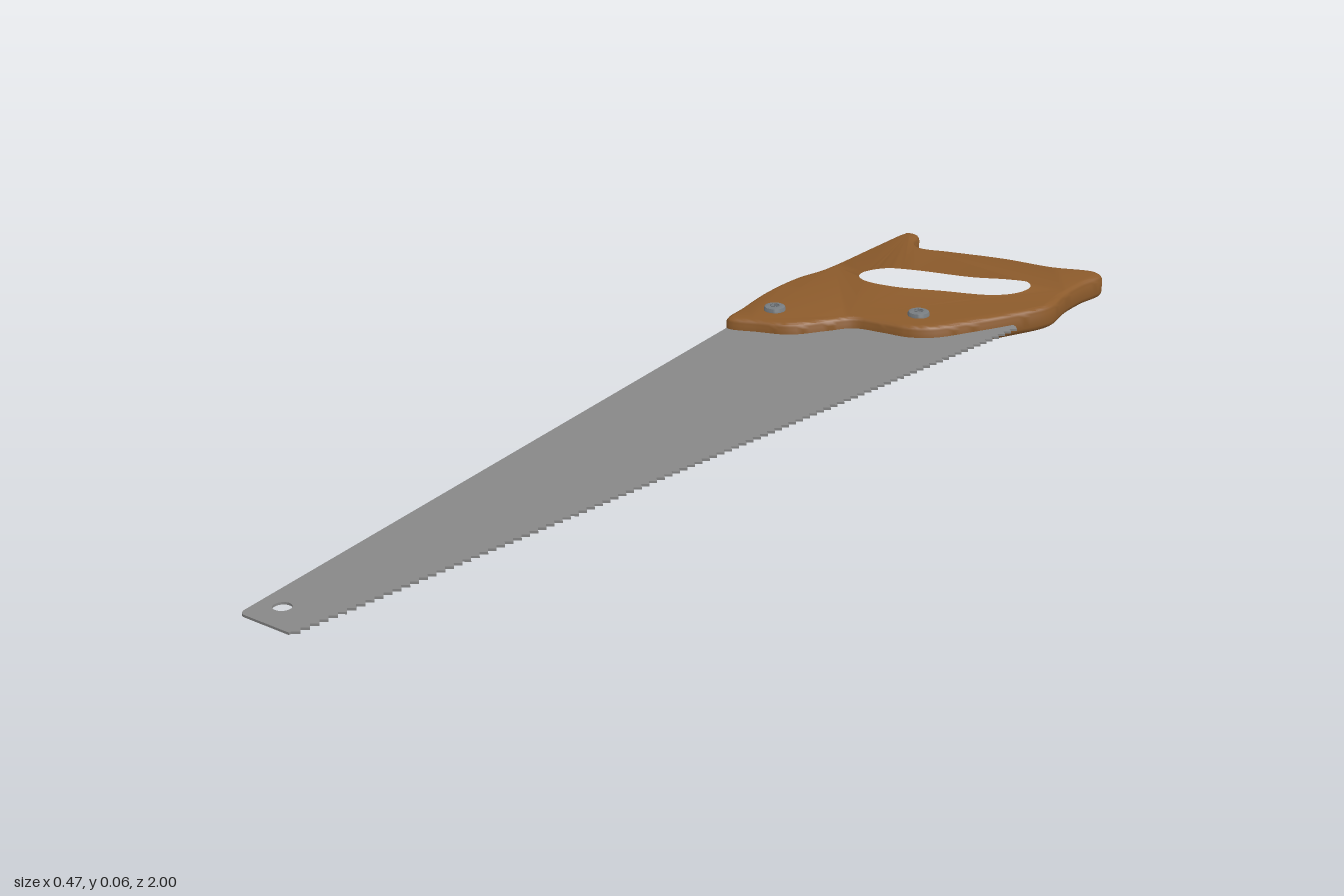
import * as THREE from 'three';
import { toCreasedNormals } from 'three/addons/utils/BufferGeometryUtils.js';

const MID_Y = 0.033; // height of the blade plane

// Smooth closed outline through [x, z] points, as shape points (shape y = -z)
function smoothLoop(points, divisions) {
  const curve = new THREE.CatmullRomCurve3(
    points.map(([x, z]) => new THREE.Vector3(x, -z, 0)), true, 'centripetal');
  return curve.getPoints(divisions).slice(0, -1).map((p) => new THREE.Vector2(p.x, p.y));
}

// Extrude a shape flat on the ground plane, centred on MID_Y
function flatExtrude(shape, thickness, bevel) {
  const geometry = new THREE.ExtrudeGeometry(shape, {
    depth: thickness - 2 * bevel,
    bevelEnabled: bevel > 0,
    bevelThickness: bevel,
    bevelSize: bevel,
    bevelOffset: -bevel,
    bevelSegments: 4,
    curveSegments: 20,
  });
  geometry.translate(0, 0, -(thickness - 2 * bevel) / 2);
  geometry.rotateX(-Math.PI / 2);
  geometry.translate(0, MID_Y, 0);
  return geometry;
}

function createHandle(material) {
  const outline = [
    [-0.205, -0.98], [-0.178, -0.98], [-0.162, -0.94], [-0.135, -0.92],
    [-0.077, -0.935], [0.03, -0.963], [0.125, -0.975], [0.2, -1.0],
    [0.225, -0.988], [0.22, -0.925], [0.221, -0.86], [0.232, -0.785],
    [0.205, -0.715], [0.16, -0.63], [0.12, -0.565], [0.08, -0.538],
    [0.03, -0.53], [-0.025, -0.518], [-0.055, -0.48], [-0.1, -0.423],
    [-0.155, -0.4], [-0.212, -0.383], [-0.225, -0.45], [-0.237, -0.545],
    [-0.235, -0.635], [-0.22, -0.705], [-0.214, -0.87], [-0.21, -0.965],
  ];
  const grip = [
    [-0.157, -0.735], [-0.13, -0.785], [-0.077, -0.81], [0.03, -0.84],
    [0.093, -0.87], [0.135, -0.88], [0.162, -0.852], [0.16, -0.805],
    [0.125, -0.76], [0.03, -0.72], [-0.05, -0.688], [-0.12, -0.683], [-0.15, -0.703],
  ];
  const shape = new THREE.Shape(smoothLoop(outline, 168));
  shape.holes.push(new THREE.Path(smoothLoop(grip, 78)));
  const mesh = new THREE.Mesh(toCreasedNormals(flatExtrude(shape, 0.045, 0.012), 0.7), material);
  mesh.name = 'handle';
  return mesh;
}

function createBlade(material) {
  const shape = new THREE.Shape();
  // Straight back, tucked under the handle, and blunt toe
  shape.moveTo(0.19, 0.71);
  shape.lineTo(0.1, 0.62);
  shape.lineTo(-0.2, 0.5);
  shape.lineTo(-0.213, 0.385);
  shape.lineTo(-0.107, -0.98);
  shape.quadraticCurveTo(-0.106, -0.995, -0.095, -0.996);
  shape.lineTo(-0.002, -1.0);
  // Teeth from toe to heel
  const teeth = 96;
  const toe = new THREE.Vector2(-0.002, -0.995);
  const heel = new THREE.Vector2(0.208, 0.7);
  for (let i = 0; i < teeth; i++) {
    const root = toe.clone().lerp(heel, i / teeth);
    const tip = toe.clone().lerp(heel, (i + 0.5) / teeth);
    shape.lineTo(root.x, root.y);
    shape.lineTo(tip.x + 0.01, tip.y - 0.001);
  }
  shape.lineTo(heel.x, heel.y);
  // Hanging hole
  const hole = new THREE.Path();
  hole.absarc(-0.069, -0.942, 0.015, 0, Math.PI * 2, true);
  shape.holes.push(hole);
  const mesh = new THREE.Mesh(flatExtrude(shape, 0.004, 0), material);
  mesh.name = 'blade';
  return mesh;
}

// Through bolt with a chamfered head and square recess on both faces
function createBolt(x, z, material) {
  const bolt = new THREE.Group();
  bolt.name = 'bolt';
  const profile = [[0.02, 0.018], [0.02, 0.026], [0.0185, 0.0295], [0.015, 0.031], [0.009, 0.031]]
    .map(([r, y]) => new THREE.Vector2(r, y));
  const headGeometry = toCreasedNormals(new THREE.LatheGeometry(profile, 28), 0.6);
  const recess = new THREE.LatheGeometry(
    [new THREE.Vector2(0.0095, 0.031), new THREE.Vector2(0.008, 0.027), new THREE.Vector2(0, 0.027)], 4);
  const recessGeometry = toCreasedNormals(recess, 0.3);
  for (const flip of [0, Math.PI]) {
    const side = new THREE.Group();
    side.name = flip ? 'boltBottom' : 'boltTop';
    const head = new THREE.Mesh(headGeometry, material);
    head.name = 'boltHead';
    const socket = new THREE.Mesh(recessGeometry, material);
    socket.name = 'boltSocket';
    socket.rotation.y = Math.PI / 4;
    side.add(head, socket);
    side.rotation.x = flip;
    bolt.add(side);
  }
  bolt.position.set(x, MID_Y, z);
  return bolt;
}

export function createModel() {
  const wood = new THREE.MeshStandardMaterial({ color: 0x8b5a2b });
  wood.name = 'wood';
  const steel = new THREE.MeshStandardMaterial({ color: 0x888888 });
  steel.name = 'steel';
  const boltMetal = new THREE.MeshStandardMaterial({ color: 0x777c80, side: THREE.DoubleSide });
  boltMetal.name = 'boltMetal';

  const saw = new THREE.Group();
  saw.name = 'handSaw';
  saw.add(
    createHandle(wood),
    createBlade(steel),
    createBolt(-0.165, -0.468, boltMetal),
    createBolt(0.062, -0.6, boltMetal),
  );
  return saw;
}
